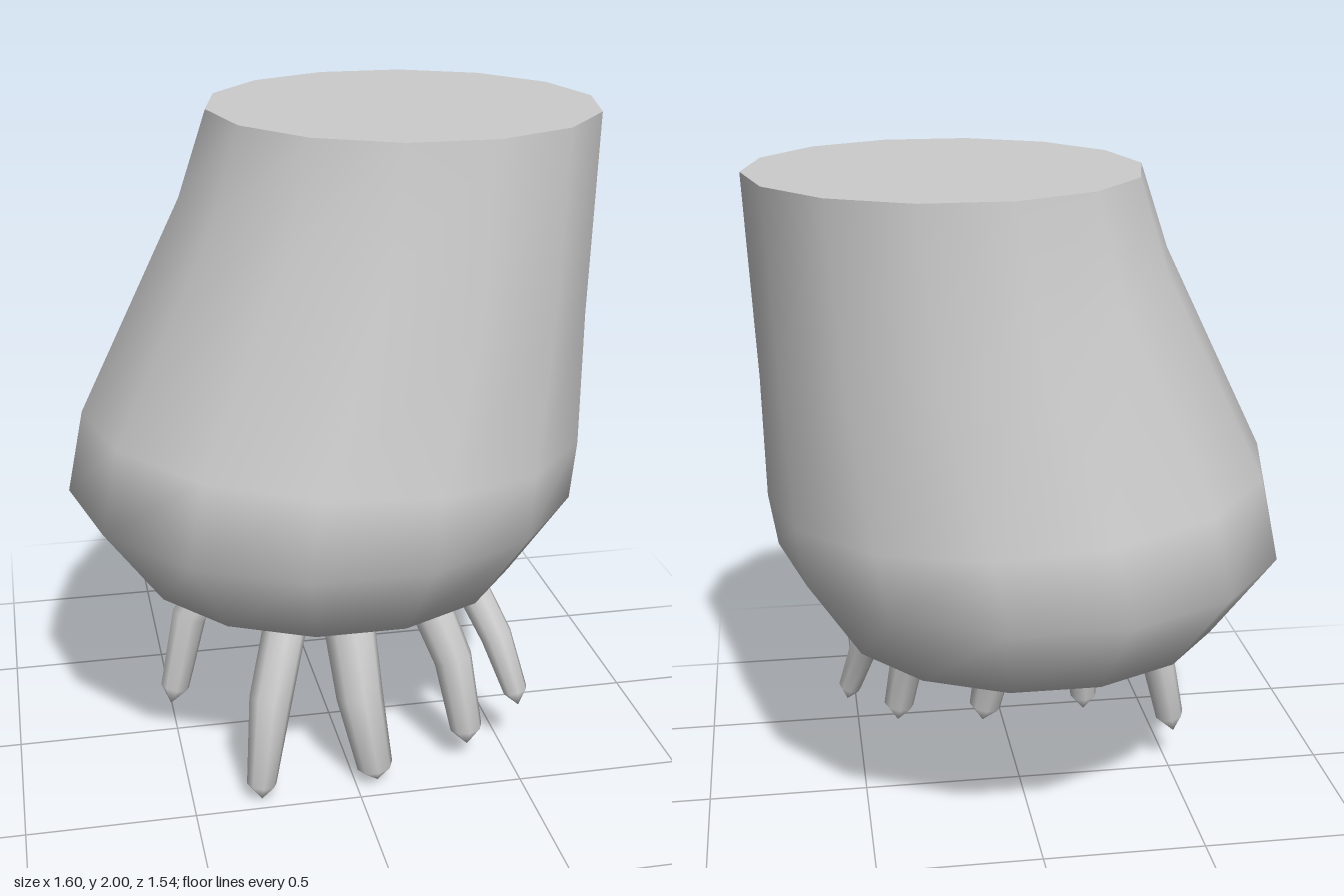
import * as THREE from 'three';
import { mergeVertices } from 'three/addons/utils/BufferGeometryUtils.js';

const grey = new THREE.MeshStandardMaterial({ color: 0xcccccc });
grey.name = 'plain grey';

// Skin a list of equal-sized rings of points into one smooth surface
function loft(rings) {
  const n = rings[0].length;
  const index = [];
  for (let i = 0; i < rings.length - 1; i++) {
    for (let j = 0; j < n; j++) {
      const a = i * n + j, b = i * n + (j + 1) % n;
      index.push(a, a + n, b, b, a + n, b + n);
    }
  }
  let geometry = new THREE.BufferGeometry().setFromPoints(rings.flat());
  geometry.setIndex(index);
  geometry = mergeVertices(geometry, 1e-5);
  geometry.computeVertexNormals();
  return geometry;
}

function part(name, geometry) {
  const mesh = new THREE.Mesh(geometry, grey);
  mesh.name = name;
  return mesh;
}

// Fourteen-sided ring of the body; tilt raises its -x side
function bodyRing([y, cx, cz, rx, rz, tilt]) {
  return Array.from({ length: 14 }, (_, j) => {
    const t = (j / 14) * Math.PI * 2;
    return new THREE.Vector3(cx + rx * Math.cos(t), y - tilt * Math.cos(t), cz + rz * Math.sin(t));
  });
}

// Tapered, bent finger along nodes of [x, y, z, radius]
function finger(nodes, sides = 8) {
  const points = nodes.map(([x, y, z]) => new THREE.Vector3(x, y, z));
  return loft(points.map((p, i) => {
    const next = points[Math.min(i + 1, points.length - 1)];
    const previous = points[Math.max(i - 1, 0)];
    const along = next.clone().sub(previous).normalize();
    const u = new THREE.Vector3(1, 0, 0).addScaledVector(along, -along.x).normalize();
    const v = u.clone().cross(along);
    return Array.from({ length: sides }, (_, j) => {
      const t = (j / sides) * Math.PI * 2, r = nodes[i][3];
      return p.clone().addScaledVector(u, r * Math.cos(t)).addScaledVector(v, r * Math.sin(t));
    });
  }));
}

export function createModel() {
  const group = new THREE.Group();
  group.name = 'stumpHand';

  // Body: pointed underside, wide palm, leaning forearm
  const rings = [
    [0.49, 0, 0, 0, 0, 0],
    [0.605, -0.02, 0, 0.59, 0.59, 0],
    [0.87, -0.03, 0, 0.77, 0.79, 0],
    [1.075, 0.008, 0, 0.757, 0.735, 0.045],
    [1.575, 0.165, -0.01, 0.605, 0.64, 0.175],
    [2, 0.22, -0.017, 0.575, 0.59, 0],
  ].map(bodyRing);
  group.add(part('body', loft(rings)));

  // Flat cut across the top
  group.add(part('topCap', loft([rings.at(-1), bodyRing([2, 0.22, -0.017, 0, 0, 0])])));

  // Five fingers, root to pointed tip
  const fingers = {
    thumb: [[-0.34, 0.59, 0.02, 0.055], [-0.45, 0.42, 0.01, 0.055], [-0.505, 0.18, 0.03, 0.045], [-0.52, 0.12, 0.03, 0]],
    firstFinger: [[-0.175, 0.59, 0.29, 0.066], [-0.26, 0.33, 0.425, 0.065], [-0.295, 0.06, 0.45, 0.045], [-0.295, 0.005, 0.45, 0]],
    middleFinger: [[-0.005, 0.58, 0.27, 0.082], [0.015, 0.3, 0.4, 0.072], [0.06, 0.06, 0.42, 0.055], [0.07, 0.005, 0.415, 0]],
    thirdFinger: [[0.235, 0.59, 0.22, 0.068], [0.325, 0.35, 0.325, 0.06], [0.365, 0.12, 0.355, 0.05], [0.37, 0.06, 0.355, 0]],
    smallFinger: [[0.385, 0.59, 0.14, 0.055], [0.475, 0.39, 0.28, 0.05], [0.53, 0.215, 0.325, 0.038], [0.54, 0.165, 0.33, 0]],
  };
  for (const [name, nodes] of Object.entries(fingers)) {
    group.add(part(name, finger([[...nodes[0].slice(0, 3), 0], ...nodes].map((n, i) => (i === 0 ? [n[0], n[1] + 0.01, n[2], 0] : n)))));
  }

  return group;
}
